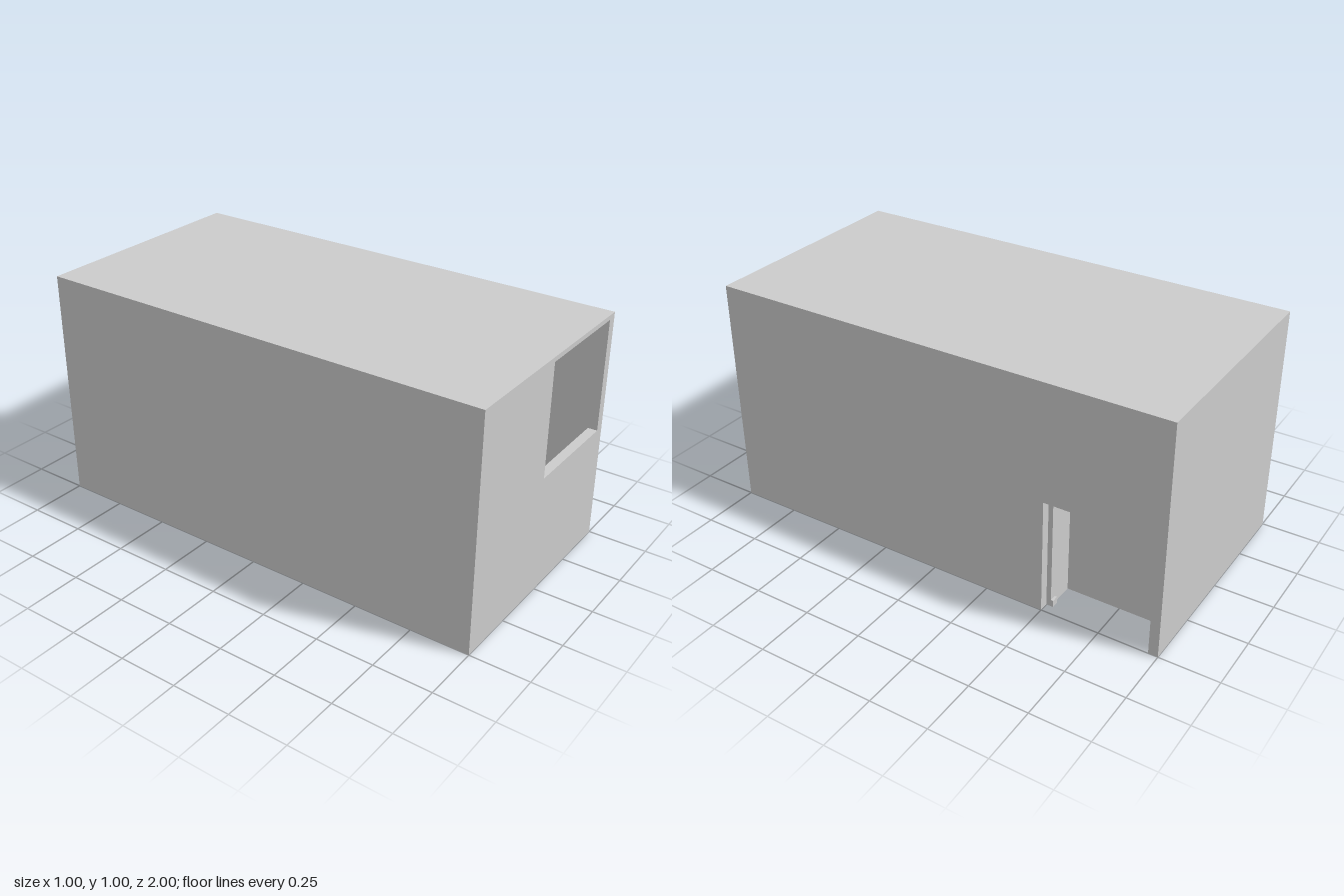
import * as THREE from 'three';

export function createModel() {
  const model = new THREE.Group();
  const material = new THREE.MeshStandardMaterial({ color: 0xcccccc, flatShading: true, side: THREE.DoubleSide });

  // Box given by its low and high limits on each axis
  function block(name, [x0, x1], [y0, y1], [z0, z1], parent = model) {
    const mesh = new THREE.Mesh(new THREE.BoxGeometry(x1 - x0, y1 - y0, z1 - z0), material);
    mesh.position.set((x0 + x1) / 2, (y0 + y1) / 2, (z0 + z1) / 2);
    mesh.name = name;
    parent.add(mesh);
    return mesh;
  }

  // Outer shell, open underneath
  const t = 0.04, inner = 0.46, ceiling = 0.98;
  block('roof', [-0.5, 0.5], [ceiling, 1], [-1, 1]);
  block('rightWall', [-0.5, -inner], [0, ceiling], [-1, 1]);
  block('backWall', [-inner, 0.5], [0, ceiling], [-1, -1 + t]);

  // Front wall with the window in its upper corner
  block('frontWallLower', [-inner, inner], [0, 0.5], [1 - t, 1]);
  block('frontWallUpper', [-inner, 0], [0.5, ceiling], [1 - t, 1]);

  // Side wall with the doorway at its rear end
  block('leftWallFront', [inner, 0.5], [0, ceiling], [-0.5, 1]);
  block('doorLintel', [inner, 0.5], [0.5, ceiling], [-1 + t, -0.5]);

  // Narrow entrance lobby behind the doorway
  block('lobbyWall', [0.29, 0.33], [0, ceiling], [-1 + t, -0.5]);
  block('lobbyEnd', [0.29, inner], [0, ceiling], [-0.52, -0.48]);
  block('doorPostFoot', [0.43, inner], [0, 0.03], [-0.53, -0.5]);

  // Cross wall standing on the steps
  block('crossWall', [-inner, inner], [0.14, ceiling], [-0.12, -0.09]);

  // Hollow steps on both sides of the cross wall: back z, front z, top y
  const steps = new THREE.Group();
  steps.name = 'steps';
  model.add(steps);
  const treads = [[-0.35, -0.21, 0.26], [-0.21, -0.12, 0.12], [-0.12, 0.15, 0.145], [0.15, 0.32, 0.06]];
  for (const [z0, z1, y] of treads) block('tread', [-inner, inner], [y - 0.02, y], [z0, z1], steps);
  const risers = [[-0.21, 0.1, 0.24], [-0.12, 0, 0.125], [0.15, 0.04, 0.125], [0.32, 0, 0.06]];
  for (const [z, y0, y1] of risers) block('riser', [-inner, inner], [y0, y1], [z - 0.02, z], steps);

  // Joists under the steps
  for (const z of [0, 0.1, 0.2]) block('joist', [-inner, inner], [0, 0.03], [z - 0.01, z + 0.01], steps);

  // Ledge on the inside of the front wall
  block('frontLedge', [-0.44, 0.08], [0.37, 0.4], [0.92, 1 - t]);

  return model;
}
